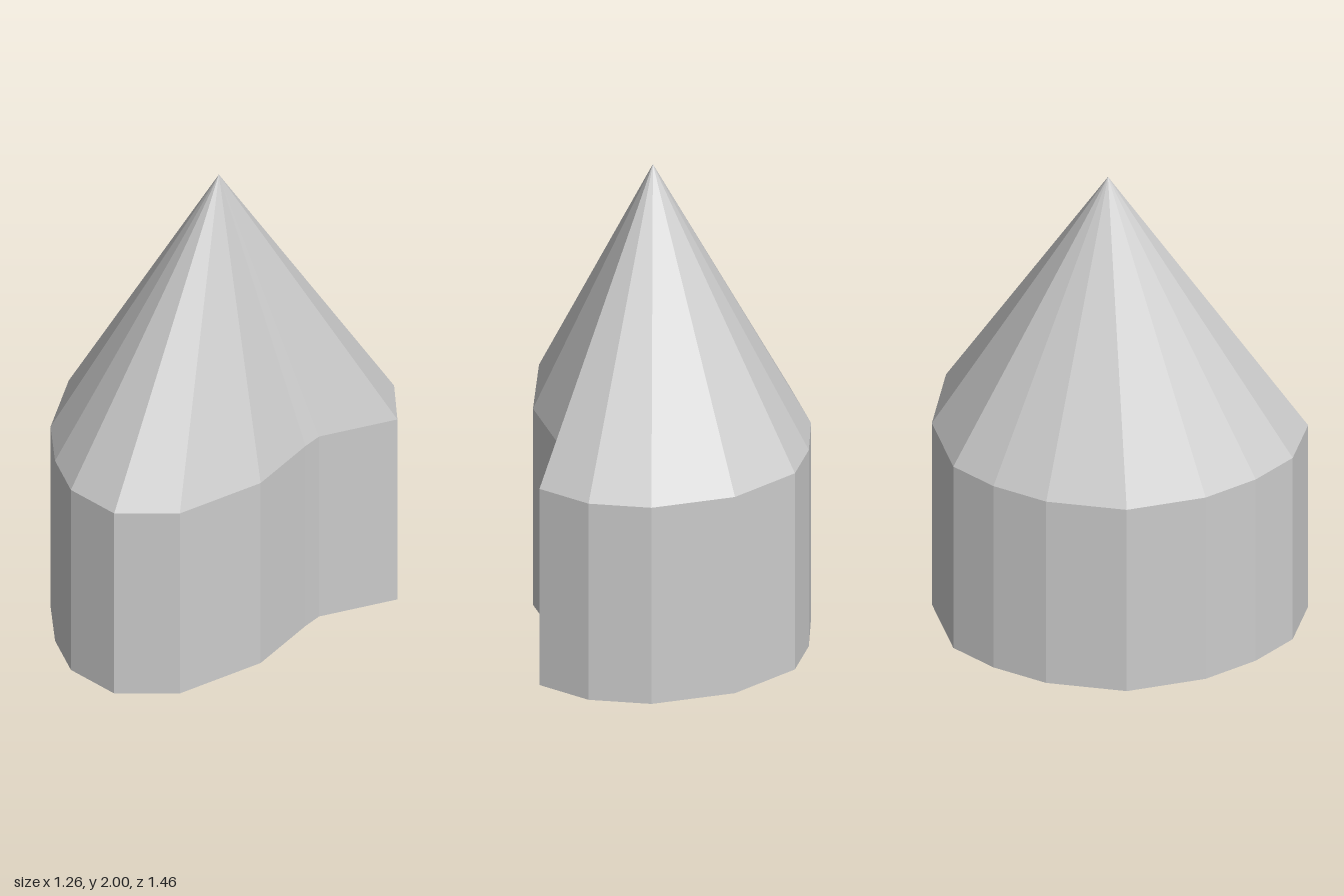
import * as THREE from 'three';

// Plan outline as [x, z], clockwise seen from above, starting at the back
const outline = [
  [-0.01, -0.73], [0.32, -0.66], [0.52, -0.515], [0.63, -0.315],
  [0.405, -0.08], [0.385, 0], [0.335, 0.30], [0.14, 0.62],
  [-0.09, 0.73], [-0.31, 0.66], [-0.45, 0.51], [-0.565, 0.31],
  [-0.635, 0], [-0.565, -0.31], [-0.45, -0.51], [-0.31, -0.66],
];
const eaveY = 0.857;
const apex = [-0.01, 2, -0.045];

// Builds a flat-shaded shell by visiting each edge of the outline
function shell(name, facesForEdge, material) {
  const positions = [];
  outline.forEach((a, i) => {
    const b = outline[(i + 1) % outline.length];
    positions.push(...facesForEdge(a, b).flat());
  });
  const geometry = new THREE.BufferGeometry();
  geometry.setAttribute('position', new THREE.Float32BufferAttribute(positions, 3));
  geometry.computeVertexNormals();
  const mesh = new THREE.Mesh(geometry, material);
  mesh.name = name;
  return mesh;
}

export function createModel() {
  const group = new THREE.Group();
  group.name = 'pointedHut';
  const material = new THREE.MeshStandardMaterial({
    color: 0xcccccc, flatShading: true, side: THREE.DoubleSide,
  });
  const at = ([x, z], y) => [x, y, z];

  // Upright wall, open at the bottom
  group.add(shell('wall', (a, b) => [
    at(a, 0), at(a, eaveY), at(b, eaveY),
    at(a, 0), at(b, eaveY), at(b, 0),
  ], material));

  // Roof facets meeting at a single point
  group.add(shell('roof', (a, b) => [at(a, eaveY), apex, at(b, eaveY)], material));

  return group;
}
